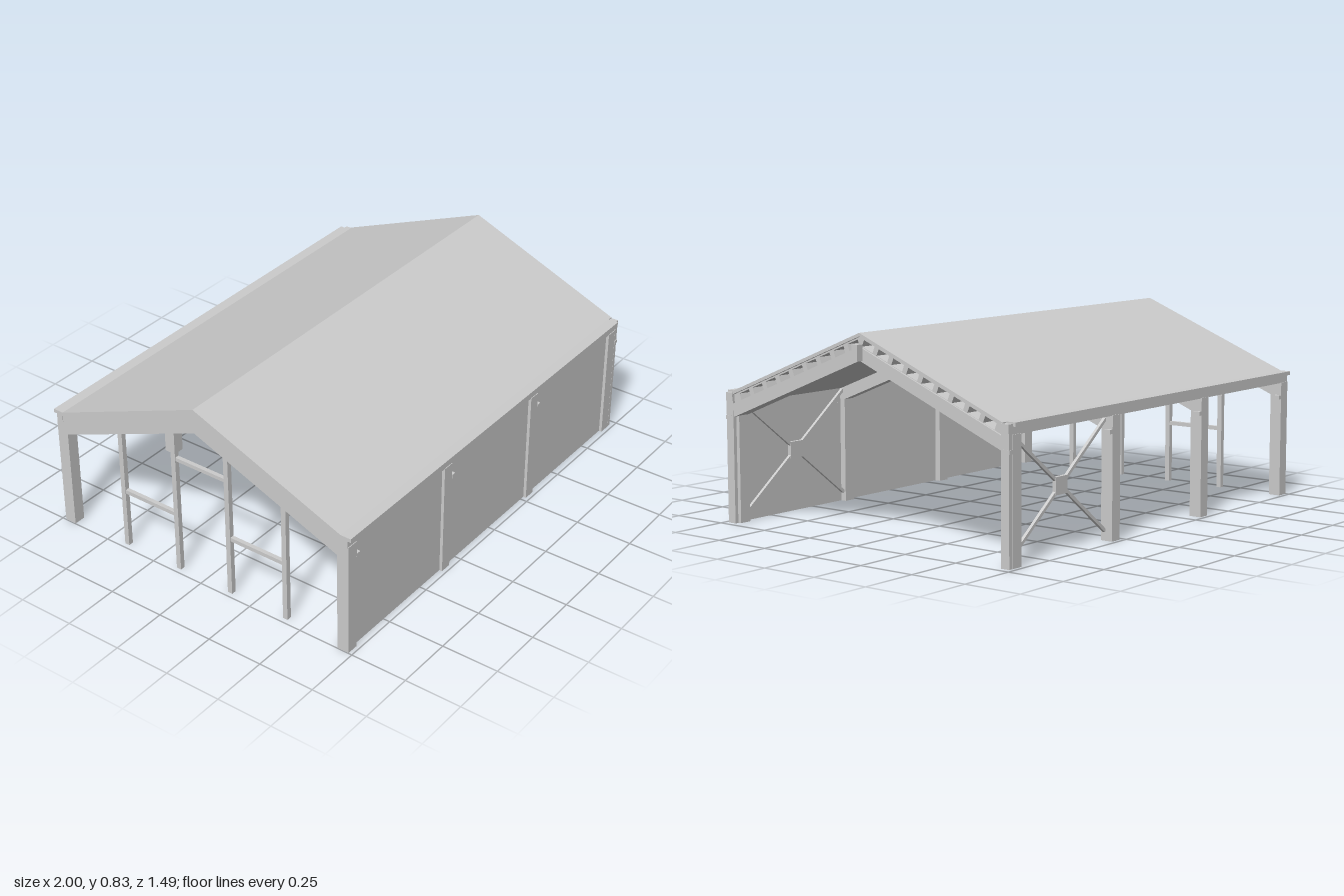
import * as THREE from 'three';

const material = new THREE.MeshStandardMaterial({ color: 0xcccccc, flatShading: true, side: THREE.DoubleSide });
const SLOPE = 0.404;

export function createModel() {
  const root = new THREE.Group();

  const add = (name, geometry) => {
    const mesh = new THREE.Mesh(geometry, material);
    mesh.name = name;
    root.add(mesh);
    return mesh;
  };

  // Box given by its limits on each axis
  const box = (name, x0, x1, y0, y1, z0, z1) => {
    const mesh = add(name, new THREE.BoxGeometry(x1 - x0, y1 - y0, Math.abs(z1 - z0)));
    mesh.position.set((x0 + x1) / 2, (y0 + y1) / 2, (z0 + z1) / 2);
  };

  // Symmetric gable outline from its [z, y] half profile, extruded along x
  const gable = (name, top, bottom, x0, x1, holes = []) => {
    const mirror = (list) => list.map(([z, y]) => [-z, y]).reverse();
    const outline = [...mirror(top), ...top.slice(1), ...bottom, ...mirror(bottom).slice(1)];
    const shape = new THREE.Shape(outline.map(([z, y]) => new THREE.Vector2(z, y)));
    shape.holes = holes;
    const geometry = new THREE.ExtrudeGeometry(shape, { depth: x1 - x0, bevelEnabled: false });
    geometry.rotateY(Math.PI / 2);
    geometry.translate(x0, 0, 0);
    add(name, geometry);
  };

  // Straight square bar between two points in a plane of constant z
  const bar = (name, a, b, z, size) => {
    const dx = b[0] - a[0], dy = b[1] - a[1];
    const mesh = add(name, new THREE.BoxGeometry(Math.hypot(dx, dy), size, size));
    mesh.position.set((a[0] + b[0]) / 2, (a[1] + b[1]) / 2, z);
    mesh.rotation.z = Math.atan2(dy, dx);
  };

  // Row of slots along each slope, open at the +x gable
  const slots = [];
  const length = Math.hypot(1, SLOPE);
  const ux = 1 / length, uy = -SLOPE / length;
  for (const s of [-1, 1]) {
    for (let i = 0; i < 9; i++) {
      const z = 0.038 + 0.0745 * i, y = 0.792 - SLOPE * z;
      const corners = [[-1, -1], [1, -1], [1, 1], [-1, 1]].map(([a, b]) => new THREE.Vector2(
        s * (z + a * 0.029 * ux - b * 0.014 * uy), y + a * 0.029 * uy + b * 0.014 * ux));
      slots.push(new THREE.Path(corners));
    }
  }

  // Roof: outer sheet over a thick deck with a slotted end
  const deckTop = [[0, 0.815], [0.7, 0.532]];
  const deckBottom = [[0.7, 0.492], [0, 0.773]];
  gable('roofSheet', [[0, 0.828], [0.7, 0.545]], [[0.7, 0.531], [0, 0.814]], -1, 0.972);
  gable('roofDeck', deckTop, deckBottom, -0.998, 0.9);
  gable('slottedDeckEnd', deckTop, deckBottom, 0.9, 0.962, slots);

  // Portal frames: rafters, columns and small brackets
  const rafterTop = [[0, 0.774], [0.7, 0.493]];
  const rafterBottom = [[0.7, 0.437], [0.68, 0.445], [0, 0.72]];
  const frames = [-0.972, -0.336, 0.297, 0.927];
  for (const x of frames) {
    gable('rafter', rafterTop, rafterBottom, x - 0.026, x + 0.026);
    for (const s of [-1, 1]) {
      box('column', x - 0.026, x + 0.026, 0, 0.5, s * 0.68, s * 0.733);
      box('columnBracket', x + 0.026, x + 0.046, 0.428, 0.445, s * 0.705, s * 0.735);
    }
  }
  gable('gableTrim', rafterTop, rafterBottom, 0.953, 0.97);
  box('apexBracket', 0.97, 1, 0.72, 0.785, -0.015, 0.015);

  // Eaves beams, gutters, outlets and downpipes on both long sides
  for (const s of [-1, 1]) {
    box('eavesBeam', -1, 0.953, 0.498, 0.532, s * 0.7, s * 0.73);
    box('gutter', -1, 0.95, 0.53, 0.546, s * 0.695, s * 0.745);
    box('gutterOutlet', 0.95, 0.975, 0.505, 0.54, s * 0.695, s * 0.732);
    box('downpipe', 0.956, 0.972, 0, 0.505, s * 0.693, s * 0.732);
  }

  // Wall panels fill the front bays
  for (let i = 0; i < 3; i++) {
    box('wallPanel', frames[i] + 0.026, frames[i + 1] - 0.026, 0, 0.5, 0.706, 0.72);
  }

  // Cross bracing in the last bay of both long sides
  for (const s of [-1, 1]) {
    const z = s * 0.695;
    bar('brace', [0.322, 0.04], [0.902, 0.485], z, 0.013);
    bar('brace', [0.322, 0.485], [0.902, 0.04], z, 0.013);
    box('braceGusset', 0.575, 0.65, 0.228, 0.298, z - 0.008, z + 0.008);
  }

  // Gable posts and rails at the far end
  for (const s of [-1, 1]) {
    box('gablePost', -0.978, -0.956, 0, 0.55, s * 0.4, s * 0.422);
    box('gablePost', -0.978, -0.956, 0, 0.668, s * 0.122, s * 0.144);
    box('gableRail', -0.976, -0.958, 0.258, 0.275, s * 0.144, s * 0.4);
  }
  box('gableRail', -0.976, -0.958, 0.53, 0.546, -0.122, 0.122);

  return root;
}
